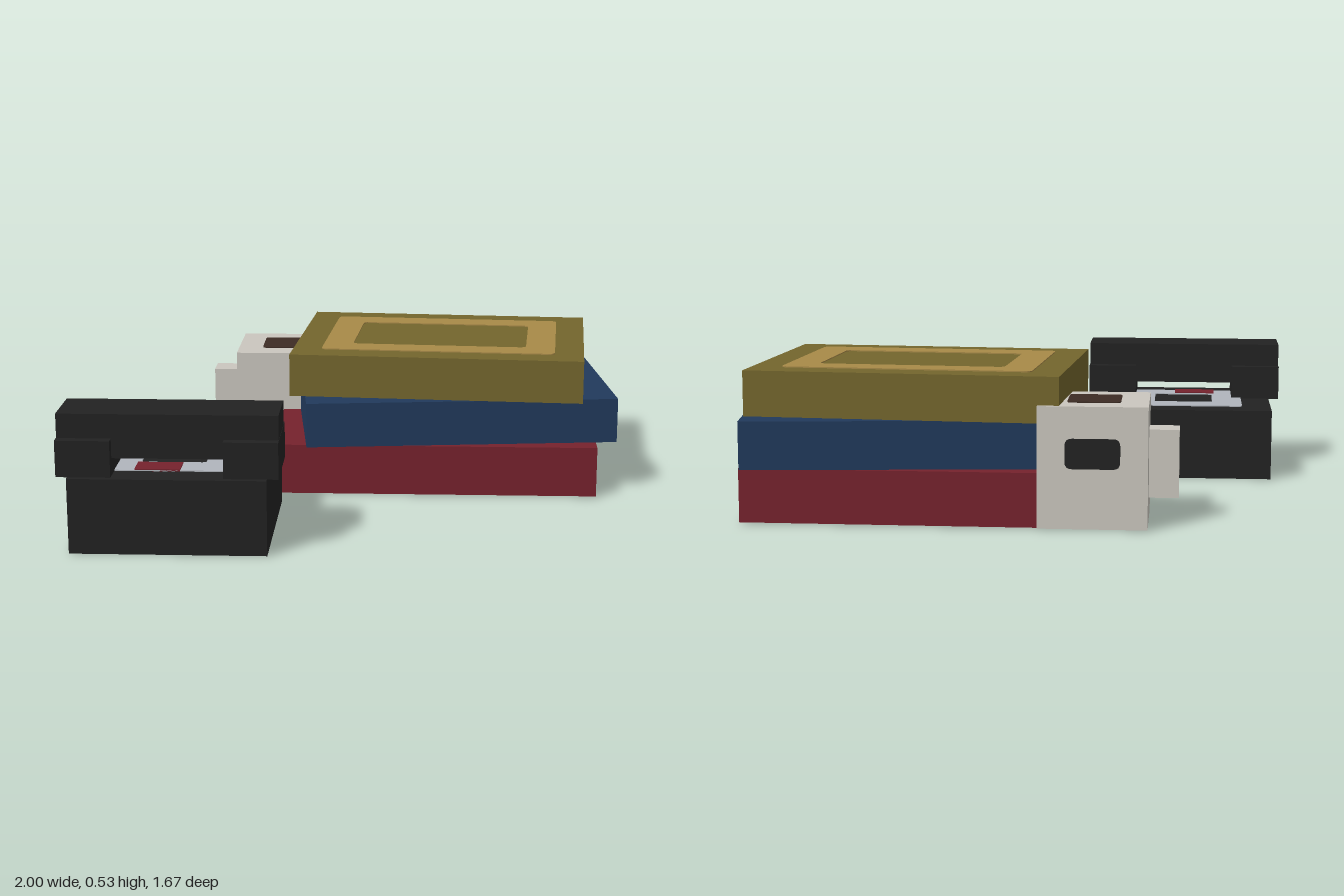
import * as THREE from 'three';

const mat = (name, color) => {
  const m = new THREE.MeshStandardMaterial({ color });
  m.name = name;
  return m;
};

export function createModel() {
  const red = mat('red', 0x76222d), blue = mat('blue', 0x213a5c), olive = mat('olive', 0x73652d);
  const tan = mat('tan', 0xa88a48), black = mat('black', 0x222222), silver = mat('silver', 0xb0b5bc);
  const ivory = mat('ivory', 0xcac6be), brown = mat('brown', 0x3d2c24);

  const model = new THREE.Group();
  model.name = 'model';
  const T = 0.004; // thickness of painted plates

  // Box given by its extents on each axis
  function box(parent, name, material, [x0, x1], [y0, y1], [z0, z1]) {
    const mesh = new THREE.Mesh(new THREE.BoxGeometry(x1 - x0, y1 - y0, z1 - z0), material);
    mesh.position.set((x0 + x1) / 2, (y0 + y1) / 2, (z0 + z1) / 2);
    mesh.name = name;
    parent.add(mesh);
    return mesh;
  }

  // Rounded rectangle outline centred on the origin
  function roundRect(target, w, h, r) {
    const x = w / 2, y = h / 2;
    target.moveTo(-x + r, -y);
    target.lineTo(x - r, -y).quadraticCurveTo(x, -y, x, -y + r);
    target.lineTo(x, y - r).quadraticCurveTo(x, y, x - r, y);
    target.lineTo(-x + r, y).quadraticCurveTo(-x, y, -x, y - r);
    target.lineTo(-x, -y + r).quadraticCurveTo(-x, -y, -x + r, -y);
    return target;
  }

  // Thin plate, optionally with a rounded opening
  function plate(parent, name, material, w, h, r, hole) {
    const shape = roundRect(new THREE.Shape(), w, h, r);
    if (hole) shape.holes.push(roundRect(new THREE.Path(), hole[0], hole[1], r));
    const geo = new THREE.ExtrudeGeometry(shape, { depth: T, bevelEnabled: false, curveSegments: 4 });
    const mesh = new THREE.Mesh(geo, material);
    mesh.name = name;
    parent.add(mesh);
    return mesh;
  }

  // Stacked books
  function book(name, material, w, d, [y0, y1], x, z, turn) {
    const group = new THREE.Group();
    group.name = name;
    group.position.set(x, 0, z);
    group.rotation.y = turn;
    box(group, name + 'Block', material, [-w / 2, w / 2], [y0, y1], [-d / 2, d / 2]);
    model.add(group);
    return group;
  }
  const bottomBook = book('bottomBook', red, 1.23, 0.905, [T, 0.195], 0.305, -0.35, 0);
  book('middleBook', blue, 1.187, 0.855, [0.195, 0.365], 0.365, -0.35, 0.106);
  const topBook = book('topBook', olive, 1.115, 0.815, [0.365, 0.527], 0.333, -0.352, -0.07);

  // Cover borders
  const topBorder = plate(topBook, 'topCoverBorder', tan, 0.895, 0.61, 0.025, [0.67, 0.405]);
  topBorder.rotation.x = -Math.PI / 2;
  topBorder.position.y = 0.527;
  const bottomBorder = plate(bottomBook, 'bottomCoverBorder', tan, 1.0, 0.665, 0.025, [0.75, 0.42]);
  bottomBorder.rotation.x = Math.PI / 2;
  bottomBorder.position.y = T;

  // Ivory case with a side knob, a top opening and a rear slot
  const cased = new THREE.Group();
  cased.name = 'ivoryCase';
  model.add(cased);
  box(cased, 'caseBody', ivory, [-0.5, -0.12], [0.003, 0.428], [-0.81, -0.44]);
  box(cased, 'caseKnob', ivory, [-0.605, -0.5], [0.09, 0.33], [-0.67, -0.567]);
  const opening = plate(cased, 'topOpening', brown, 0.185, 0.185, 0.02);
  opening.rotation.x = -Math.PI / 2;
  opening.position.set(-0.31, 0.428, -0.627);
  const slot = plate(cased, 'rearSlot', black, 0.19, 0.105, 0.025);
  slot.rotation.y = Math.PI;
  slot.position.set(-0.31, 0.265, -0.81);

  // Black device: base, two side posts and a cross bar
  const device = new THREE.Group();
  device.name = 'device';
  model.add(device);
  box(device, 'base', black, [-0.96, -0.27], [0, 0.27], [0.19, 0.835]);
  for (const [name, xs] of [['rightPost', [-1, -0.81]], ['leftPost', [-0.42, -0.23]]])
    box(device, name, black, xs, [0.27, 0.4], [0.53, 0.815]);
  box(device, 'crossBar', black, [-0.999, -0.231], [0.33, 0.487], [0.567, 0.78]);

  // Silver frame and red marker on the base
  const frame = plate(device, 'silverFrame', silver, 0.465, 0.435, 0.015, [0.23, 0.225]);
  frame.rotation.x = -Math.PI / 2;
  frame.position.set(-0.615, 0.27, 0.5125);
  box(device, 'redMarker', red, [-0.74, -0.58], [0.27, 0.278], [0.64, 0.73]);

  return model;
}
